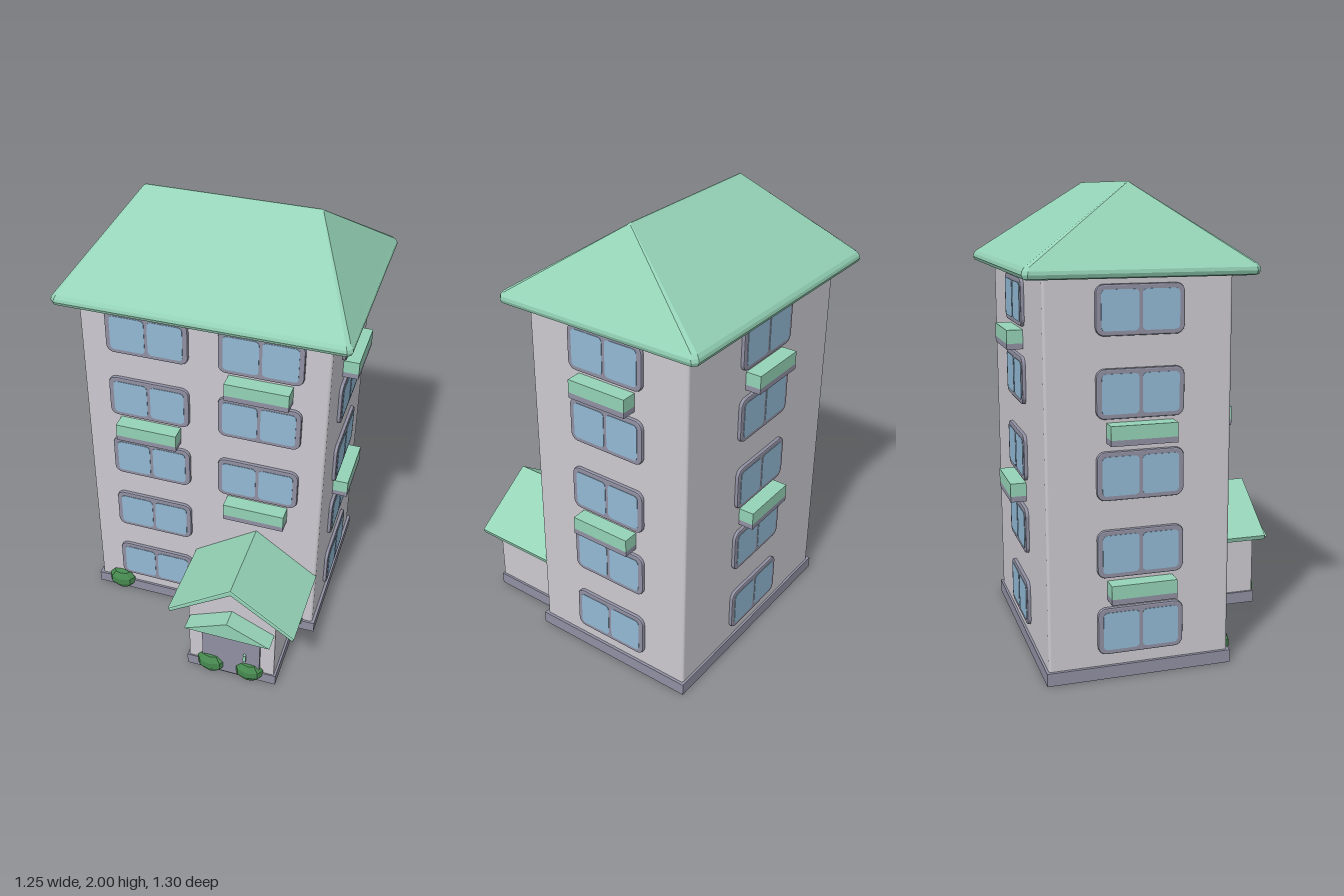
import * as THREE from 'three';
import { RoundedBoxGeometry } from 'three/addons/geometries/RoundedBoxGeometry.js';

const material = (name, color, extra = {}) => {
  const m = new THREE.MeshStandardMaterial({ color, ...extra });
  m.name = name;
  return m;
};

// Rectangle with rounded corners, centred on the origin
function roundedRect(w, h, r) {
  const x = w / 2, y = h / 2, s = new THREE.Shape();
  s.moveTo(-x + r, -y);
  s.lineTo(x - r, -y).absarc(x - r, -y + r, r, -Math.PI / 2, 0);
  s.lineTo(x, y - r).absarc(x - r, y - r, r, 0, Math.PI / 2);
  s.lineTo(-x + r, y).absarc(-x + r, y - r, r, Math.PI / 2, Math.PI);
  s.lineTo(-x, -y + r).absarc(-x + r, -y + r, r, Math.PI, Math.PI * 1.5);
  return s;
}

const polygon = (points) => new THREE.Shape(points.map(([x, y]) => new THREE.Vector2(x, y)));
const extrude = (shape, depth) =>
  new THREE.ExtrudeGeometry(shape, { depth, bevelEnabled: false, curveSegments: 5 });

// Hipped roof lofted through chamfered rectangles: [y, half x, half z, chamfer]
function hipRoofGeometry() {
  const rings = [
    [1.64, 0.605, 0.455, 0.01], [1.645, 0.619, 0.467, 0.015], [1.66, 0.625, 0.474, 0.02],
    [1.674, 0.623, 0.471, 0.02], [1.688, 0.612, 0.461, 0.015],
    [1.994, 0.382, 0.009, 0.003], [2.0, 0.372, 0.002, 0.001],
  ].map(([y, a, b, c]) => [
    [a, b - c], [a, c - b], [a - c, -b], [c - a, -b],
    [-a, c - b], [-a, b - c], [c - a, b], [a - c, b],
  ].map(([x, z]) => [x, y, z]));
  const pos = [];
  for (let k = 0; k < rings.length - 1; k++) {
    for (let i = 0; i < 8; i++) {
      const j = (i + 1) % 8, lo = rings[k], hi = rings[k + 1];
      pos.push(...lo[i], ...lo[j], ...hi[j], ...lo[i], ...hi[j], ...hi[i]);
    }
  }
  const bottom = rings[0], top = rings[rings.length - 1];
  for (let i = 1; i < 7; i++) {
    pos.push(...bottom[0], ...bottom[i + 1], ...bottom[i]);
    pos.push(...top[0], ...top[i], ...top[i + 1]);
  }
  const g = new THREE.BufferGeometry();
  g.setAttribute('position', new THREE.Float32BufferAttribute(pos, 3));
  g.computeVertexNormals();
  return g;
}

export function createModel() {
  const wall = material('wall grey', 0xcccad0);
  const trim = material('trim slate', 0x9090a3);
  const green = material('roof green', 0x95d3b7);
  const glass = material('window blue', 0x92b9d4);
  const leaf = material('bush green', 0x478a50, { flatShading: true });

  const model = new THREE.Group();
  model.name = 'apartmentHouse';
  const add = (parent, name, geometry, mat, x = 0, y = 0, z = 0) => {
    const mesh = new THREE.Mesh(geometry, mat);
    mesh.name = name;
    mesh.position.set(x, y, z);
    parent.add(mesh);
    return mesh;
  };
  const box = (w, h, d) => new THREE.BoxGeometry(w, h, d);

  // Main block, plinth and hipped roof
  const midZ = -0.177;
  add(model, 'mainWalls', new RoundedBoxGeometry(1.074, 1.62, 0.77, 2, 0.012), wall, 0, 0.84, midZ);
  add(model, 'plinth', box(1.1, 0.055, 0.79), trim, 0, 0.0275, midZ);
  add(model, 'mainRoof', hipRoofGeometry(), green, 0, 0, midZ);

  // Windows: rounded frame with two panes
  const frameGeo = new THREE.ExtrudeGeometry(roundedRect(0.35, 0.188, 0.03), {
    depth: 0.009, bevelThickness: 0.006, bevelSize: 0.006, bevelSegments: 2, curveSegments: 4,
  });
  const paneGeo = extrude(roundedRect(0.152, 0.16, 0.018), 0.004);
  function addWindow(parent, x, y) {
    const w = new THREE.Group();
    w.name = 'window';
    w.position.set(x, y, 0);
    add(w, 'windowFrame', frameGeo, trim);
    for (const side of [-1, 1]) add(w, 'windowPane', paneGeo, glass, side * 0.083, 0, 0.013);
    parent.add(w);
  }

  // Flower box under a window: green box on a slate tray
  function addFlowerBox(parent, x, y) {
    add(parent, 'flowerBox', box(0.275, 0.057, 0.075), green, x, y - 0.144, 0.0305);
    add(parent, 'flowerBoxTray', box(0.275, 0.024, 0.075), trim, x, y - 0.1845, 0.0305);
  }

  // Facades: columns of windows, each listing the rows that exist and those with boxes
  const rows = [1.515, 1.188, 0.858, 0.535, 0.207];
  const facades = [
    { name: 'frontFacade', pos: [0, 0.208], turn: 0, columns: [[-0.24, 5, [1]], [0.25, 3, [0, 2]]] },
    { name: 'leftFacade', pos: [0.537, midZ], turn: Math.PI / 2, columns: [[0, 5, [0, 2]]] },
    { name: 'backFacade', pos: [0, -0.562], turn: Math.PI, columns: [[0, 5, [0, 2]]] },
    { name: 'rightFacade', pos: [-0.537, midZ], turn: -Math.PI / 2, columns: [[0, 5, [1, 3]]] },
  ];
  for (const { name, pos, turn, columns } of facades) {
    const facade = new THREE.Group();
    facade.name = name;
    facade.position.set(pos[0], 0, pos[1]);
    facade.rotation.y = turn;
    for (const [x, count, boxes] of columns) {
      rows.slice(0, count).forEach((y) => addWindow(facade, x, y));
      boxes.forEach((i) => addFlowerBox(facade, x, rows[i]));
    }
    model.add(facade);
  }

  // Entrance porch, built around its own centre line
  const porch = new THREE.Group();
  porch.name = 'porch';
  porch.position.x = 0.25;
  model.add(porch);
  const gable = polygon([[-0.2, 0.04], [0.2, 0.04], [0.2, 0.395], [0, 0.538], [-0.2, 0.395]]);
  add(porch, 'porchWalls', extrude(gable, 0.37), wall, 0, 0, 0.2);
  add(porch, 'porchPlinth', box(0.42, 0.055, 0.378), trim, 0, 0.0275, 0.387);
  const chevron = polygon([
    [-0.28, 0.35], [0, 0.541], [0.28, 0.35], [0.282, 0.358], [0, 0.557], [-0.282, 0.358],
  ]);
  add(porch, 'porchRoof', new THREE.ExtrudeGeometry(chevron, {
    depth: 0.39, bevelThickness: 0.007, bevelSize: 0.007, bevelSegments: 2,
  }), green, 0, 0, 0.202);
  const canopy = polygon([[-0.195, 0.32], [0.195, 0.32], [0, 0.41]]);
  add(porch, 'doorCanopy', extrude(canopy, 0.09), green, 0, 0, 0.56);
  add(porch, 'door', extrude(roundedRect(0.27, 0.295, 0.015), 0.023), trim, 0, 0.1595, 0.56);
  add(porch, 'doorHandle', box(0.012, 0.038, 0.018), green, 0.067, 0.146, 0.587);

  // Faceted bushes, half sunk into the walls
  const profile = [[0, 0], [0.035, 0.002], [0.066, 0.036], [0.066, 0.07], [0.04, 0.1], [0, 0.105]]
    .map(([r, y]) => new THREE.Vector2(r, y));
  const bushGeo = new THREE.LatheGeometry(profile, 8);
  for (const [x, z] of [[-0.43, 0.212], [0.425, 0.212], [0.155, 0.572], [0.335, 0.572]]) {
    add(model, 'bush', bushGeo, leaf, x, 0, z).scale.z = 0.6;
  }
  return model;
}
